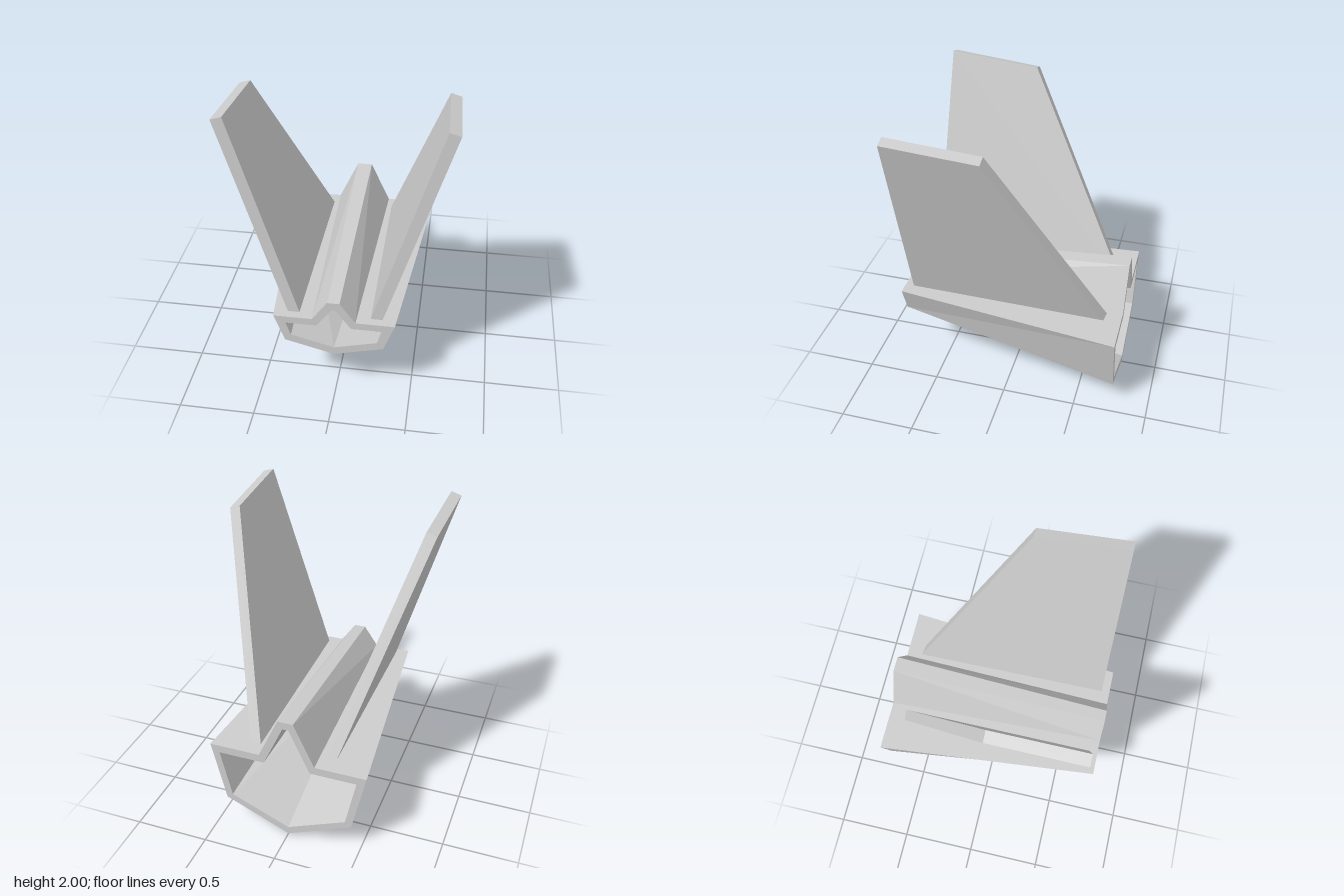
import * as THREE from 'three';

const material = new THREE.MeshStandardMaterial({ color: 0xcccccc, flatShading: true });

// Full ring from a half outline: keel, chine, gunwale, ridge foot, ridge top, then mirrored
function ring(half, z) {
  const left = half.slice(1).reverse().map(([x, y]) => [-x, y]);
  return [...half, ...left].map(([x, y]) => new THREE.Vector3(x, y, z));
}

// Hollow, tapering hull: outer and inner walls joined by a rim at each end
function createHull() {
  const z = 0.755;
  const frontOuter = ring([[0, 0.37], [0.32, 0.455], [0.39, 0.65], [0.14, 0.65], [0.04, 0.795]], z);
  const frontInner = ring([[0, 0.427], [0.28, 0.502], [0.313, 0.6], [0.113, 0.6], [0.012, 0.737]], z);
  const backOuter = ring([[0, 0], [0.44, 0.195], [0.535, 0.62], [0.19, 0.62], [0.052, 0.92]], -z);
  const backInner = ring([[0, 0.057], [0.398, 0.228], [0.473, 0.565], [0.158, 0.565], [0.02, 0.868]], -z);

  const points = [];
  // Quad split along a-c, or along b-d when flipped
  const quad = (a, b, c, d, flip) =>
    points.push(...(flip ? [a, b, d, b, c, d] : [a, b, c, a, c, d]));

  const n = frontOuter.length;
  for (let i = 0; i < n; i++) {
    const j = (i + 1) % n;
    const flip = i > 4;
    quad(frontOuter[i], backOuter[i], backOuter[j], frontOuter[j], flip);
    quad(frontInner[i], frontInner[j], backInner[j], backInner[i], flip);
    quad(frontOuter[i], frontOuter[j], frontInner[j], frontInner[i]);
    quad(backOuter[i], backInner[i], backInner[j], backOuter[j]);
  }
  const geometry = new THREE.BufferGeometry().setFromPoints(points);
  geometry.computeVertexNormals();
  const hull = new THREE.Mesh(geometry, material);
  hull.name = 'hull';
  return hull;
}

// Slanted fin: flat outline (z along the hull, height along the slant) with a thickness
function createFin(side) {
  const thickness = 0.073;
  const tilt = 0.294;
  const outline = new THREE.Shape([[-0.68, 0], [0.70, 0], [0.66, 1.498], [0.06, 1.446]]
    .map(([x, y]) => new THREE.Vector2(x, y)));
  const geometry = new THREE.ExtrudeGeometry(outline, { depth: thickness, bevelEnabled: false });

  const along = new THREE.Vector3(0, 0, 1);
  const up = new THREE.Vector3(side * Math.sin(tilt), Math.cos(tilt), 0);
  const across = new THREE.Vector3().crossVectors(along, up);
  const foot = side > 0 ? [0.275, 0.545, 0] : [-0.205, 0.566, 0];
  geometry.applyMatrix4(new THREE.Matrix4().makeBasis(along, up, across).setPosition(...foot));

  const fin = new THREE.Mesh(geometry, material);
  fin.name = side > 0 ? 'leftFin' : 'rightFin';
  return fin;
}

export function createModel() {
  const model = new THREE.Group();
  model.name = 'finnedHull';
  model.add(createHull(), createFin(1), createFin(-1));
  return model;
}
